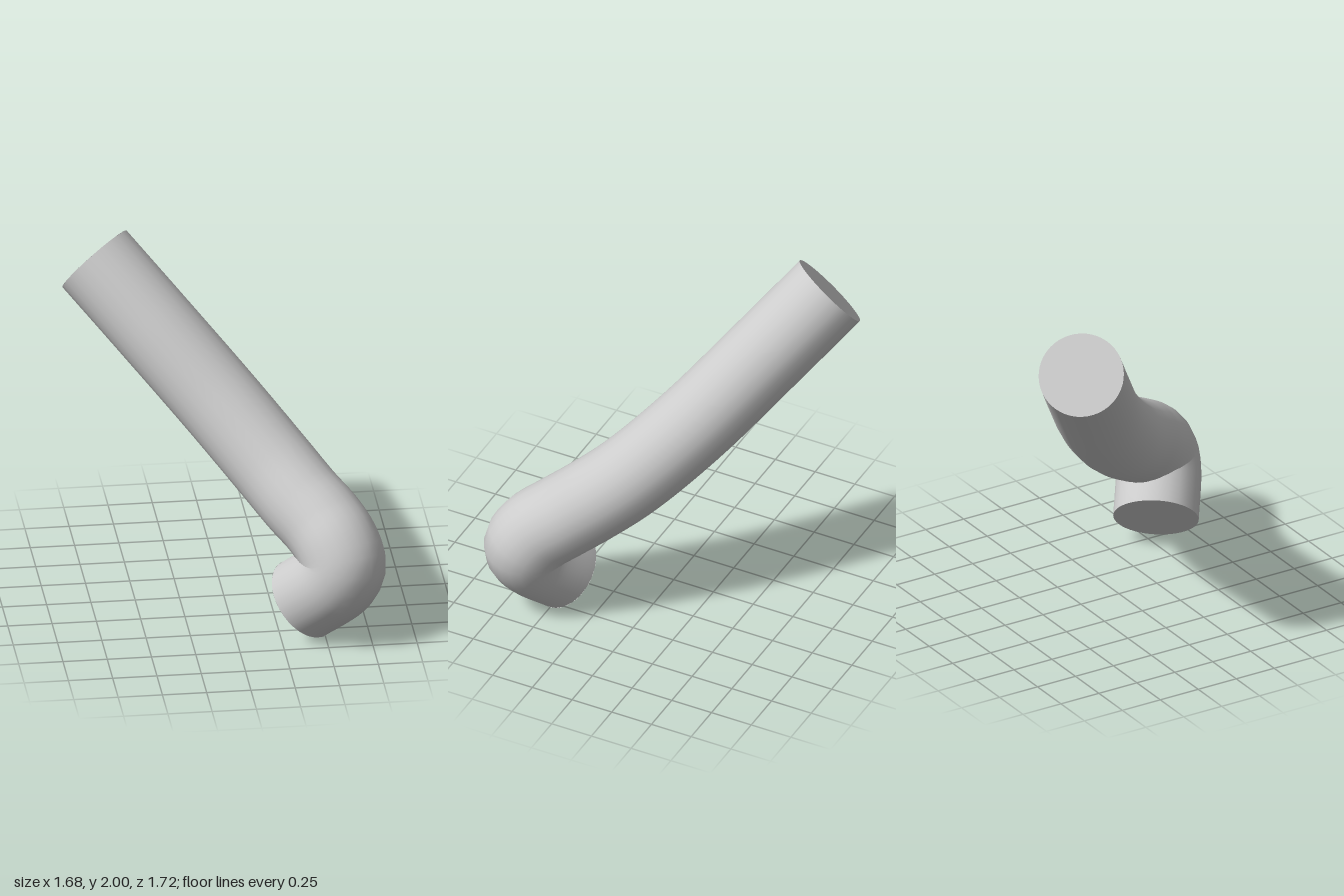
import * as THREE from 'three';

const RADIUS = 0.24;
const SIDES = 24;

// centre line, from the upper end round the bend to the lower end
const PATH = [
  [-0.65, 1.815, -0.65], [-0.35, 1.5, -0.41], [0, 1.13, -0.12], [0.26, 0.855, 0.14],
  [0.4, 0.715, 0.315], [0.51, 0.62, 0.455], [0.575, 0.535, 0.565], [0.6, 0.44, 0.62],
  [0.565, 0.36, 0.61], [0.39, 0.18, 0.485],
];

export function createModel() {
  const group = new THREE.Group();
  group.name = 'bentPipe';
  const material = new THREE.MeshStandardMaterial({ color: 0xcccccc, side: THREE.DoubleSide });
  const curve = new THREE.CatmullRomCurve3(PATH.map((p) => new THREE.Vector3(...p)), false, 'centripetal');

  // round body swept along the centre line
  const body = new THREE.Mesh(new THREE.TubeGeometry(curve, 80, RADIUS, SIDES), material);
  body.name = 'pipeBody';
  group.add(body);

  // flat discs closing both ends
  const addCap = (name, t, sign) => {
    const cap = new THREE.Mesh(new THREE.CircleGeometry(RADIUS, SIDES * 2), material);
    cap.name = name;
    cap.position.copy(curve.getPointAt(t));
    const outward = curve.getTangentAt(t).multiplyScalar(sign);
    cap.quaternion.setFromUnitVectors(new THREE.Vector3(0, 0, 1), outward);
    group.add(cap);
  };
  addCap('upperCap', 0, -1);
  addCap('lowerCap', 1, 1);

  return group;
}
